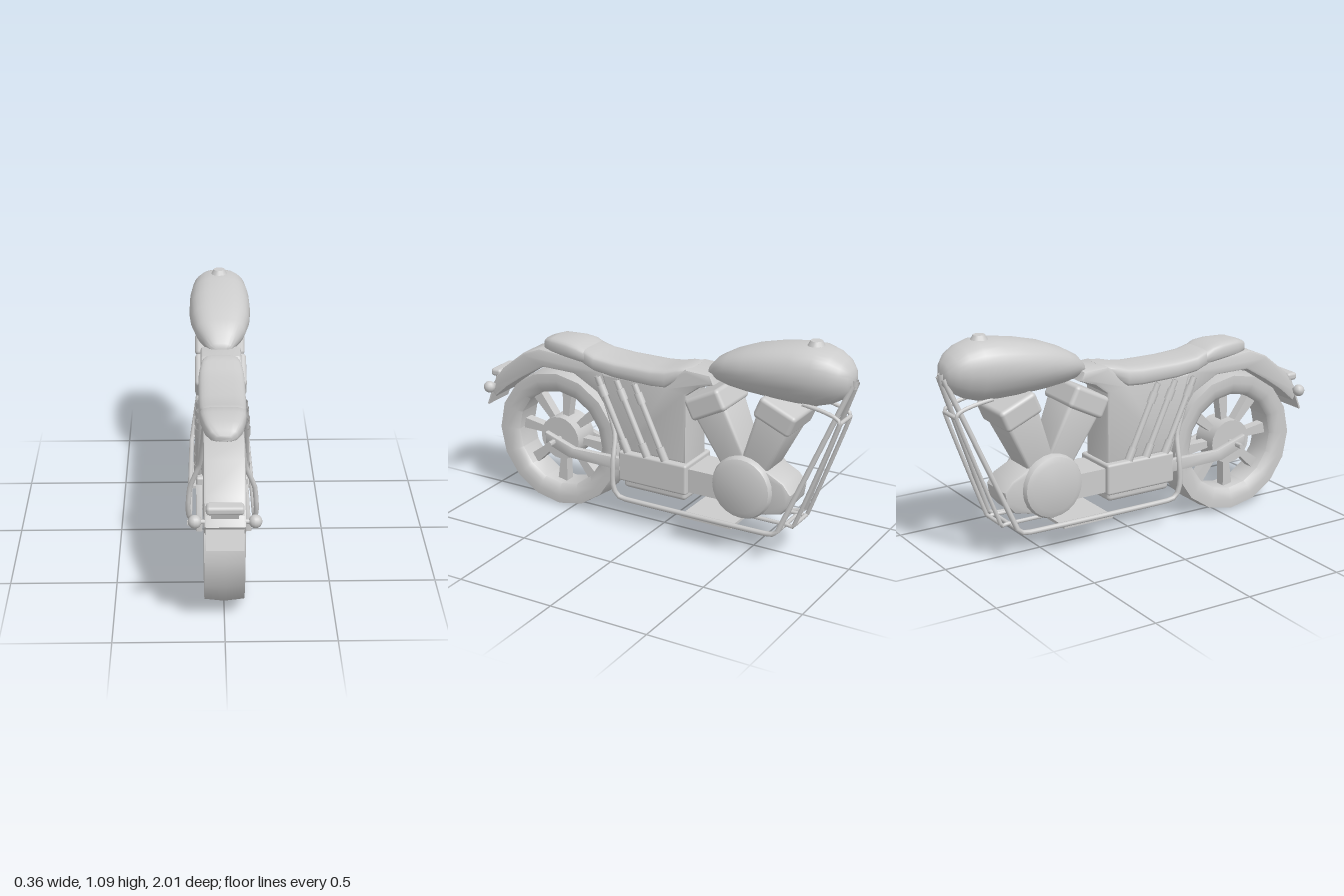
import * as THREE from 'three';
import { RoundedBoxGeometry } from 'three/addons/geometries/RoundedBoxGeometry.js';
import { toCreasedNormals } from 'three/addons/utils/BufferGeometryUtils.js';

const grey = new THREE.MeshStandardMaterial({ color: 0xcccccc, side: THREE.DoubleSide });

export function createModel() {
  const model = new THREE.Group();
  const add = (name, geo, x = 0, y = 0, z = 0, parent = model) => {
    const m = new THREE.Mesh(geo, grey);
    m.name = name;
    m.position.set(x, y, z);
    parent.add(m);
    return m;
  };
  // Outline in (z, y), extruded from x0 to x1 with a small bevel
  const slab = (pts, x0, x1, bevel = 0.008) => {
    const shape = new THREE.Shape(pts.map(p => new THREE.Vector2(p[0], p[1])));
    const geo = new THREE.ExtrudeGeometry(shape, {
      depth: x1 - x0 - 2 * bevel, bevelEnabled: bevel > 0, bevelThickness: bevel,
      bevelSize: bevel, bevelOffset: -bevel, bevelSegments: 2,
    });
    geo.translate(0, 0, -x1 + bevel).rotateY(-Math.PI / 2);
    return toCreasedNormals(geo, 0.6);
  };
  // Wheel-like solid turned about the x axis, profile in (radius, x)
  const turned = (pts, seg, crease = 0.7) => toCreasedNormals(
    new THREE.LatheGeometry(pts.map(p => new THREE.Vector2(p[0], p[1])), seg).rotateZ(Math.PI / 2), crease);
  // Cushion-like skin through sections [z, halfWidth, yBottom, yTop]
  const loft = (sections, power, taper, n = 24) => {
    const pos = [], index = [];
    const pw = v => Math.sign(v) * Math.abs(v) ** power;
    for (const [z, w, y0, y1] of sections) {
      for (let i = 0; i < n; i++) {
        const a = (i / n) * Math.PI * 2, s = pw(Math.sin(a));
        const k = s < 0 ? 1 + taper * s : 1;
        pos.push(w * k * pw(Math.cos(a)), (y0 + y1) / 2 + s * (y1 - y0) / 2, z);
      }
    }
    const last = sections.length - 1;
    for (let j = 0; j < last; j++) {
      for (let i = 0; i < n; i++) {
        const a = j * n + i, b = j * n + (i + 1) % n;
        index.push(a, a + n, b, b, a + n, b + n);
      }
    }
    for (let i = 1; i < n - 1; i++) {
      index.push(0, i, i + 1, last * n, last * n + i + 1, last * n + i);
    }
    const geo = new THREE.BufferGeometry();
    geo.setAttribute('position', new THREE.Float32BufferAttribute(pos, 3));
    geo.setIndex(index);
    return toCreasedNormals(geo, 0.8);
  };
  const tube = (pts, r = 0.011, tension = 0.15) => new THREE.TubeGeometry(
    new THREE.CatmullRomCurve3(pts.map(p => new THREE.Vector3(...p)), false, 'catmullrom', tension), 60, r, 8);
  const rod = (a, b, r) => tube([a, b], r);

  // Wheel
  const wheel = new THREE.Group();
  wheel.name = 'wheel';
  wheel.position.set(0, 0.362, 0.57);
  model.add(wheel);
  add('tyre', turned([[0.25, -0.065], [0.272, -0.084], [0.31, -0.092], [0.35, -0.09], [0.36, 0],
    [0.35, 0.09], [0.31, 0.092], [0.272, 0.084], [0.25, 0.065], [0.25, -0.065]], 16, 0.9), 0, 0, 0, wheel);
  add('hub', turned([[0, -0.07], [0.112, -0.07], [0.112, 0.07], [0, 0.07]], 20), 0, 0, 0, wheel);
  for (let i = 0; i < 8; i++) {
    const spoke = add('spoke', slab([[-0.016, 0.09], [0.016, 0.09], [0.028, 0.256], [-0.028, 0.256]],
      -0.025, 0.025, 0), 0, 0, 0, wheel);
    spoke.rotation.x = i * Math.PI / 4 - 0.08;
  }
  add('axle', turned([[0, -0.167], [0.013, -0.167], [0.013, 0.167], [0, 0.167]], 10), 0, 0, 0, wheel);

  // Mudguard and main body
  add('mudguard', slab([[0.95, 0.52], [0.98, 0.57], [0.9, 0.68], [0.77, 0.785], [0.67, 0.825], [0.42, 0.815],
    [0.3, 0.78], [0.15, 0.74], [0.15, 0.36], [0.195, 0.36], [0.25, 0.545], [0.33, 0.66], [0.465, 0.732],
    [0.65, 0.732], [0.77, 0.66], [0.87, 0.59]], -0.092, 0.092, 0.012));
  add('body', slab([[0.3, 0.77], [-0.06, 0.77], [-0.13, 0.84], [-0.17, 0.87], [-0.3, 0.865], [-0.32, 0.82],
    [-0.24, 0.79], [-0.175, 0.74], [-0.175, 0.39], [0.17, 0.39], [0.23, 0.54]], -0.1, 0.1, 0.015));

  // Seat in two cushions
  add('seat', loft([[0.45, 0.08, 0.79, 0.86], [0.4, 0.1, 0.785, 0.868], [0.34, 0.108, 0.765, 0.85],
    [0.22, 0.111, 0.75, 0.842], [0.02, 0.112, 0.745, 0.843], [-0.06, 0.11, 0.75, 0.852],
    [-0.12, 0.1, 0.79, 0.868], [-0.17, 0.085, 0.83, 0.873], [-0.185, 0.06, 0.845, 0.87]].reverse(), 0.5, 0));
  add('rearCushion', loft([[0.672, 0.035, 0.825, 0.855], [0.655, 0.06, 0.815, 0.872], [0.6, 0.085, 0.805, 0.891],
    [0.5, 0.103, 0.8, 0.892], [0.44, 0.107, 0.795, 0.884], [0.39, 0.1, 0.79, 0.862]].reverse(), 0.55, 0));

  // Fuel tank and filler cap
  add('tank', loft([[-0.982, 0.03, 0.91, 0.96], [-0.972, 0.06, 0.875, 0.99], [-0.94, 0.095, 0.845, 1.025],
    [-0.89, 0.12, 0.815, 1.055], [-0.82, 0.14, 0.793, 1.074], [-0.72, 0.152, 0.79, 1.07],
    [-0.6, 0.155, 0.793, 1.05], [-0.48, 0.146, 0.8, 1.02], [-0.38, 0.122, 0.81, 0.98],
    [-0.31, 0.085, 0.822, 0.94], [-0.27, 0.055, 0.835, 0.895], [-0.26, 0.035, 0.845, 0.875]], 0.75, 0.28, 32));
  add('fillerCap', new THREE.CylinderGeometry(0.028, 0.045, 0.03, 12), 0, 1.078, -0.79);

  // Engine: crankcase, nose, gearbox and the two cylinders in a V
  add('crankcase', turned([[0, -0.132], [0.12, -0.13], [0.148, -0.118], [0.157, -0.1],
    [0.157, 0.1], [0.148, 0.118], [0.12, 0.13], [0, 0.132]], 24), 0, 0.34, -0.48);
  add('crankcaseNose', slab([[-0.45, 0.47], [-0.6, 0.445], [-0.69, 0.4], [-0.73, 0.35], [-0.72, 0.29],
    [-0.68, 0.24], [-0.6, 0.22], [-0.45, 0.2]], -0.095, 0.095, 0.015));
  add('gearbox', new RoundedBoxGeometry(0.25, 0.155, 0.38, 2, 0.012), 0, 0.315, 0);
  add('sump', new RoundedBoxGeometry(0.22, 0.06, 0.35, 2, 0.02), 0, 0.23, -0.005);
  add('gearboxLink', new THREE.BoxGeometry(0.2, 0.12, 0.2), 0, 0.31, -0.27);
  for (const [name, z, angle] of [['rearCylinder', -0.47, 0.47], ['frontCylinder', -0.49, -0.4]]) {
    const cyl = new THREE.Group();
    cyl.name = name;
    cyl.position.set(0, 0.36, z);
    cyl.rotation.x = angle;
    model.add(cyl);
    const barrel = new RoundedBoxGeometry(0.22, 0.34, 0.18, 2, 0.02);
    const p = barrel.attributes.position;
    for (let i = 0; i < p.count; i++) {
      const k = 0.86 + 0.8 * p.getY(i);
      p.setX(i, p.getX(i) * k);
      p.setZ(i, p.getZ(i) * k);
    }
    add('barrel', toCreasedNormals(barrel, 0.5), 0, 0.2, 0, cyl);
    add('cylinderHead', new RoundedBoxGeometry(0.255, 0.11, 0.2, 3, 0.02), 0, 0.405, 0, cyl);
  }

  // Parts repeated on both sides
  for (const s of [1, -1]) {
    const arm = [[0.62, 0.405], [0.455, 0.35], [0.18, 0.355], [0.18, 0.29], [0.48, 0.295], [0.62, 0.345]];
    add('swingArm', slab(arm, s > 0 ? 0.096 : -0.126, s > 0 ? 0.126 : -0.096, 0.005));

    // Slanted struts with a thicker upper sleeve
    for (const z of [0.315, 0.205, 0.105]) {
      const at = t => [s * (0.108 + 0.008 * t), 0.755 - 0.36 * t, z - 0.175 * t];
      add('strut', rod(at(0), at(1), 0.015));
      add('strutSleeve', rod(at(0.12), at(0.26), 0.021));
      add('strutFoot', rod(at(0.83), at(1), 0.02));
    }

    // Frame loop from the body, under the engine and up to the head
    add('frameTube', tube([[s * 0.085, 0.73, 0.33], [s * 0.095, 0.6, 0.265], [s * 0.11, 0.47, 0.215],
      [s * 0.155, 0.35, 0.2], [s * 0.165, 0.24, 0.198], [s * 0.162, 0.18, 0.18], [s * 0.158, 0.162, 0.13],
      [s * 0.155, 0.16, -0.2], [s * 0.15, 0.16, -0.64], [s * 0.147, 0.178, -0.69], [s * 0.14, 0.22, -0.71],
      [s * 0.025, 0.92, -0.985]], 0.0125, 0.25));
    add('innerFrameTube', tube([[s * 0.06, 0.8, -0.76], [s * 0.06, 0.785, -0.86], [s * 0.06, 0.74, -0.945],
      [s * 0.07, 0.2, -0.745], [s * 0.07, 0.19, -0.71], [s * 0.07, 0.19, -0.42]], 0.01));

    // Indicators
    add('indicator', new THREE.SphereGeometry(0.03, 12, 8), s * 0.13, 0.585, 0.953);
    add('indicatorStem', rod([s * 0.07, 0.585, 0.953], [s * 0.12, 0.585, 0.953], 0.011));
  }
  add('upperCrossTube', rod([-0.06, 0.74, -0.945], [0.06, 0.74, -0.945], 0.01));
  add('lowerCrossTube', rod([-0.07, 0.195, -0.742], [0.07, 0.195, -0.742], 0.01));
  add('frontCrossTube', rod([-0.147, 0.18, -0.69], [0.147, 0.18, -0.69], 0.01));
  add('headLug', rod([0, 0.9, -0.978], [0, 0.94, -0.985], 0.018));
  add('skidPlate', new THREE.BoxGeometry(0.3, 0.014, 0.27), 0, 0.142, -0.315);

  // Tail lamp and plate
  add('tailLamp', new RoundedBoxGeometry(0.165, 0.04, 0.06, 2, 0.015), 0, 0.645, 0.95);
  const bracket = add('lampBracket', new THREE.BoxGeometry(0.12, 0.09, 0.025), 0, 0.6, 0.945);
  bracket.rotation.x = 0.3;
  const plate = add('rearPlate', new THREE.BoxGeometry(0.166, 0.175, 0.008), 0, 0.55, 0.97);
  plate.rotation.x = -0.38;

  return model;
}
